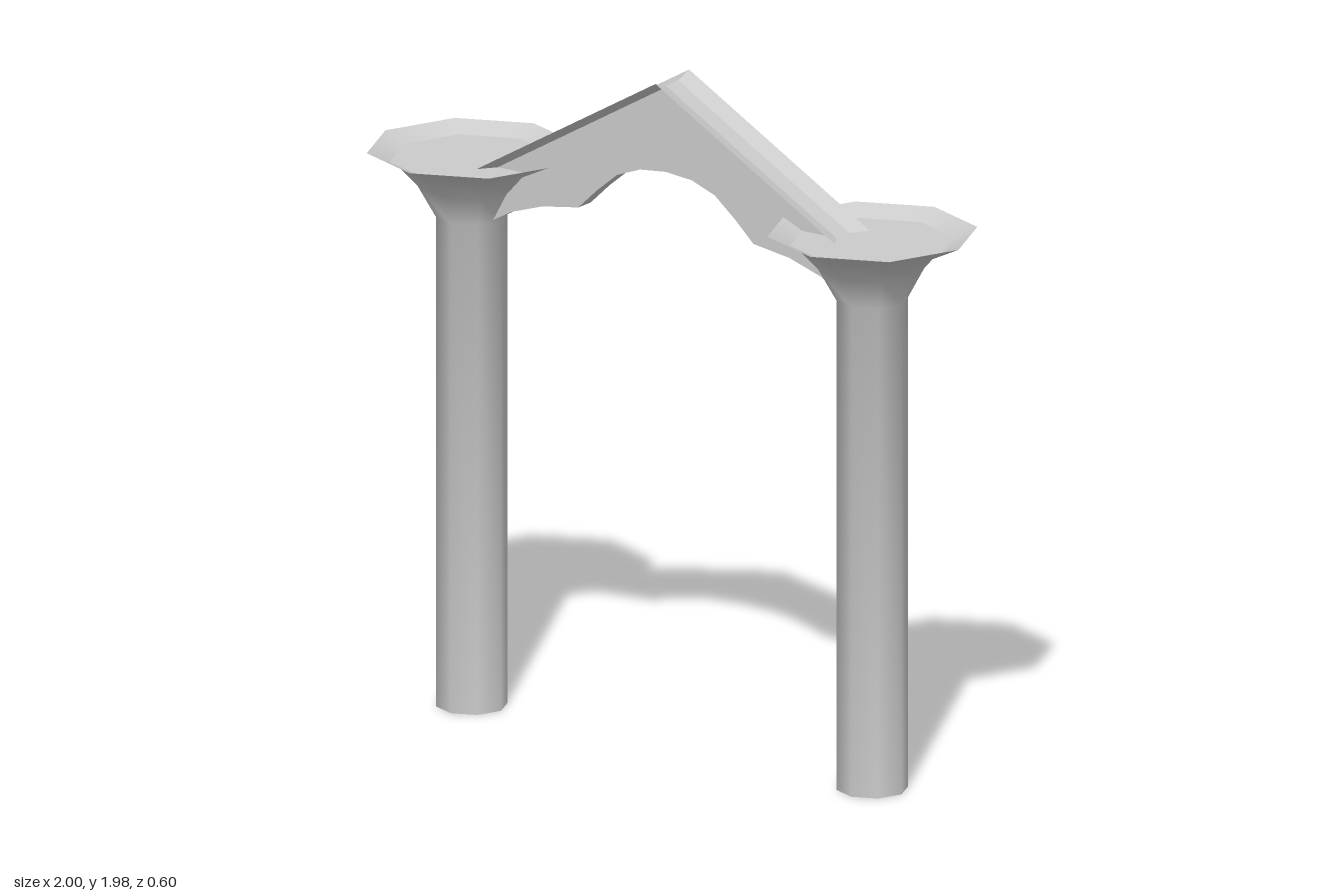
import * as THREE from 'three';
import { toCreasedNormals } from 'three/addons/utils/BufferGeometryUtils.js';

const SIDES = 8;
const smoothMat = new THREE.MeshStandardMaterial({ color: 0xcccccc });
const flatMat = new THREE.MeshStandardMaterial({ color: 0xcccccc, flatShading: true });

const lathe = (profile) =>
  new THREE.LatheGeometry(profile.map(([r, y]) => new THREE.Vector2(r, y)), SIDES);

function named(name, geometry, material) {
  const mesh = new THREE.Mesh(geometry, material);
  mesh.name = name;
  return mesh;
}

// Octagonal column: shaft flaring into a capital with a shallow dish on top
function makeColumn(name, x) {
  const column = new THREE.Group();
  column.name = name;
  const body = lathe([[0, 0], [0.102, 0], [0.102, 1.445], [0.155, 1.54], [0.21, 1.6], [0.301, 1.644]]);
  column.add(named('shaftAndFlare', toCreasedNormals(body, 0.9), smoothMat));
  column.add(named('dishRim', lathe([[0.301, 1.644], [0.235, 1.615]]), smoothMat));
  column.add(named('dishFloor', lathe([[0.235, 1.615], [0, 1.615]]), smoothMat));
  column.position.set(x, 0, -0.002);
  return column;
}

// Gabled beam: thin scalloped web whose top flares into a grooved ridge strip, lofted along x
function makeBeam() {
  const half = [[0, 1.705], [0.09, 1.696], [0.17, 1.666], [0.24, 1.608], [0.305, 1.546],
    [0.43, 1.527], [0.54, 1.491], [0.6, 1.457], [0.63, 1.445]];
  const stations = [...half.slice(1).reverse().map(([x, y]) => [-x, y]), ...half];
  const positions = [];
  const rings = stations.map(([x, bottom]) => {
    const top = 1.977 - 0.58 * Math.abs(x);
    return [[bottom, 0.028], [top - 0.022, 0.028], [top, 0.078], [top - 0.016, 0.03],
      [top - 0.016, -0.032], [top + 0.003, -0.085], [top - 0.022, -0.032], [bottom, -0.032],
    ].map(([y, z]) => [x, y, z]);
  });
  const tri = (...corners) => corners.forEach((c) => positions.push(...c));
  const n = rings[0].length;
  for (let i = 0; i < rings.length - 1; i++) {
    for (let j = 0; j < n; j++) {
      const k = (j + 1) % n;
      const [a, b, c, d] = [rings[i][j], rings[i + 1][j], rings[i + 1][k], rings[i][k]];
      tri(a, b, c);
      tri(a, c, d);
    }
  }
  // End caps: web quad, then the two lips and the strip between them
  const capFaces = [[0, 1, 6], [0, 6, 7], [1, 2, 3], [1, 3, 4], [1, 4, 6], [4, 5, 6]];
  const first = rings[0];
  const last = rings[rings.length - 1];
  for (const [a, b, c] of capFaces) {
    tri(first[a], first[b], first[c]);
    tri(last[a], last[c], last[b]);
  }
  const geometry = new THREE.BufferGeometry();
  geometry.setAttribute('position', new THREE.Float32BufferAttribute(positions, 3));
  geometry.computeVertexNormals();
  return named('archedBeam', geometry, flatMat);
}

export function createModel() {
  const gate = new THREE.Group();
  gate.name = 'columnGate';
  gate.add(makeColumn('leftColumn', 0.698), makeColumn('rightColumn', -0.698), makeBeam());
  return gate;
}
